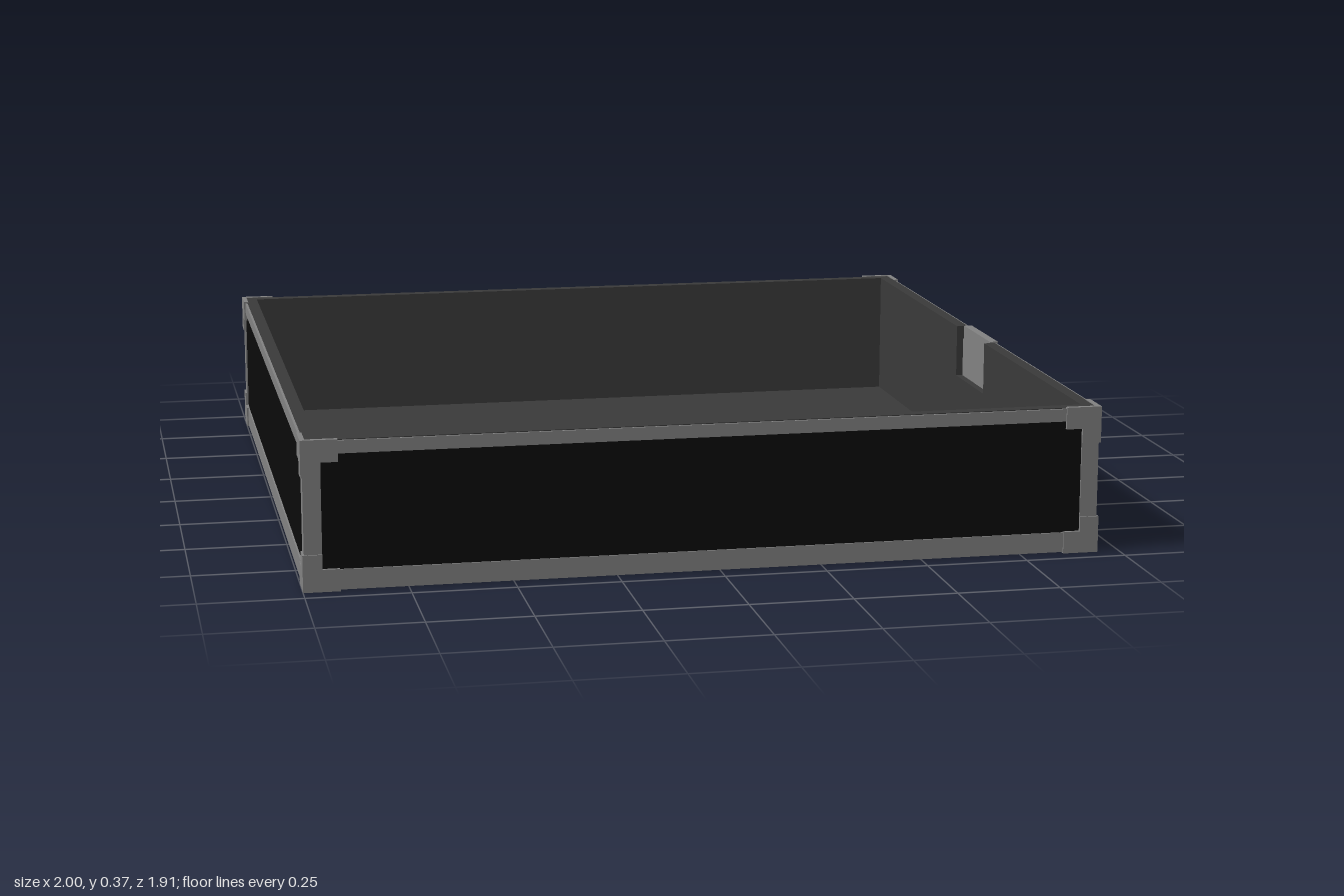
import * as THREE from 'three';

const mat = (name, color, side = THREE.FrontSide) => {
  const m = new THREE.MeshStandardMaterial({ color, side });
  m.name = name;
  return m;
};

export function createModel() {
  const metal = mat('metal grey', 0x828282);
  const black = mat('panel black', 0x0b0b0b);
  const lining = mat('lining dark grey', 0x3a3a3a);

  const HX = 0.9725, HZ = 0.955, H = 0.365; // half sizes and height of the tray
  const NOTCH = 0.125, NOTCH_Y = 0.225;     // opening behind the handle

  const add = (parent, name, geometry, material, x = 0, y = 0, z = 0) => {
    const mesh = new THREE.Mesh(geometry, material);
    mesh.name = name;
    mesh.position.set(x, y, z);
    parent.add(mesh);
    return mesh;
  };
  // Box given by its limits
  const box = (parent, name, material, x0, x1, y0, y1, z0, z1) =>
    add(parent, name, new THREE.BoxGeometry(x1 - x0, y1 - y0, z1 - z0), material,
      (x0 + x1) / 2, (y0 + y1) / 2, (z0 + z1) / 2);
  // Flat outline extruded along z
  const slab = (parent, name, material, pts, z0, z1) =>
    add(parent, name, new THREE.ExtrudeGeometry(
      new THREE.Shape(pts.map(p => new THREE.Vector2(...p))),
      { depth: z1 - z0, bevelEnabled: false }), material, 0, 0, z0);

  // Wall outline, with an optional notch in the top edge
  const wallOutline = (h, y0, y1, notched) => [
    [-h, y0], [h, y0], [h, y1],
    ...(notched ? [[NOTCH, y1], [NOTCH, NOTCH_Y], [-NOTCH, NOTCH_Y], [-NOTCH, y1]] : []),
    [-h, y1],
  ];

  const model = new THREE.Group();
  model.name = 'flightCaseTray';
  const tray = new THREE.Group();
  tray.name = 'tray';
  tray.position.x = -0.0275;
  model.add(tray);

  // Floor and underside
  box(tray, 'floor', lining, -HX + 0.02, HX - 0.02, 0.012, 0.03, -HZ + 0.02, HZ - 0.02);
  box(tray, 'underside', black, -HX + 0.015, HX - 0.015, 0.006, 0.012, -HZ + 0.015, HZ - 0.015);

  // One wall facing local +z: lining, outer panel, trims and corner guards
  function makeSide(name, h, d, notched) {
    const side = new THREE.Group();
    side.name = name;
    slab(side, 'liningWall', lining, wallOutline(h - 0.01, 0.02, 0.363, notched), d - 0.04, d - 0.01);
    slab(side, 'outerPanel', black, wallOutline(h - 0.01, 0.012, 0.355, notched), d - 0.014, d - 0.008);

    const e = h - 0.004;
    box(side, 'topTrim', metal, -e, e, 0.33, 0.361, d - 0.012, d - 0.004);
    box(side, 'bottomTrim', metal, -e, e, 0.003, 0.052, d - 0.012, d - 0.004);
    box(side, 'undersideTrim', metal, -e, e, 0.003, 0.012, d - 0.035, d - 0.005);
    for (const s of [-1, 1]) {
      const limits = (a, b) => [Math.min(s * a, s * b), Math.max(s * a, s * b)];
      box(side, 'cornerTrim', metal, ...limits(h - 0.047, e), 0.05, 0.335, d - 0.012, d - 0.004);
      box(side, 'cornerFoot', metal, ...limits(h - 0.088, h), 0, 0.01, d - 0.04, d);
      // L-shaped guards at the bottom and top
      for (const [y0, v] of [[0, 1], [H, -1]]) {
        const pts = [[h, 0], [h, 0.09], [h - 0.047, 0.09], [h - 0.047, 0.054], [h - 0.088, 0.054], [h - 0.088, 0]];
        slab(side, 'cornerGuard', metal, pts.map(([x, y]) => [s * x, y0 + v * y]), d - 0.012, d);
      }
    }
    return side;
  }

  const sides = ['frontSide', 'handleSide', 'backSide', 'plainSide'];
  sides.forEach((name, k) => {
    const alongX = k % 2 === 0;
    const side = makeSide(name, alongX ? HX : HZ, alongX ? HZ : HX, k === 1);
    side.rotation.y = k * Math.PI / 2;
    tray.add(side);
  });

  // Handle, built facing +z and turned to face +x
  const handle = new THREE.Group();
  handle.name = 'handle';
  handle.rotation.y = Math.PI / 2;
  model.add(handle);
  const D = 0.945;

  slab(handle, 'bracketPlate', metal, [
    [-0.118, H], [-0.118, 0.33], [-0.137, 0.325], [-0.137, 0.235], [-0.12, 0.215],
    [0.12, 0.215], [0.137, 0.235], [0.137, 0.325], [0.118, 0.33], [0.118, H],
  ], D - 0.022, D);
  box(handle, 'hingeCover', metal, -0.088, 0.088, 0.235, 0.272, D - 0.005, D + 0.008);

  // Rounded wire loop leaning outwards
  const loop = new THREE.CurvePath();
  const W = 0.105, T = 0.287, B = 0.122, R = 0.025;
  const point = (x, y) => new THREE.Vector3(x, y, D + 0.004 + (T - y) * 0.19);
  const corners = [[-W, T, 1, 0], [W, T, 0, -1], [W, B, -1, 0], [-W, B, 0, 1]];
  corners.forEach(([x, y, ox, oy], i) => {
    const [px, py] = corners[(i + 3) % 4].slice(2);
    const [nx, ny] = corners[(i + 1) % 4];
    const end = point(x + ox * R, y + oy * R);
    loop.add(new THREE.QuadraticBezierCurve3(point(x - px * R, y - py * R), point(x, y), end));
    loop.add(new THREE.LineCurve3(end, point(nx - ox * R, ny - oy * R)));
  });
  add(handle, 'handleLoop', new THREE.TubeGeometry(loop, 96, 0.011, 8, true), metal);

  // Ribbed grip around the lower bar
  const ribs = [new THREE.Vector2(0, -0.075)];
  for (let i = 0; i <= 20; i++) {
    ribs.push(new THREE.Vector2(i % 2 ? 0.022 : 0.019, -0.075 + i * 0.0075));
  }
  ribs.push(new THREE.Vector2(0, 0.075));
  const grip = add(handle, 'grip', new THREE.LatheGeometry(ribs, 16), black, 0, B, D + 0.033);
  grip.rotation.z = Math.PI / 2;

  return model;
}
